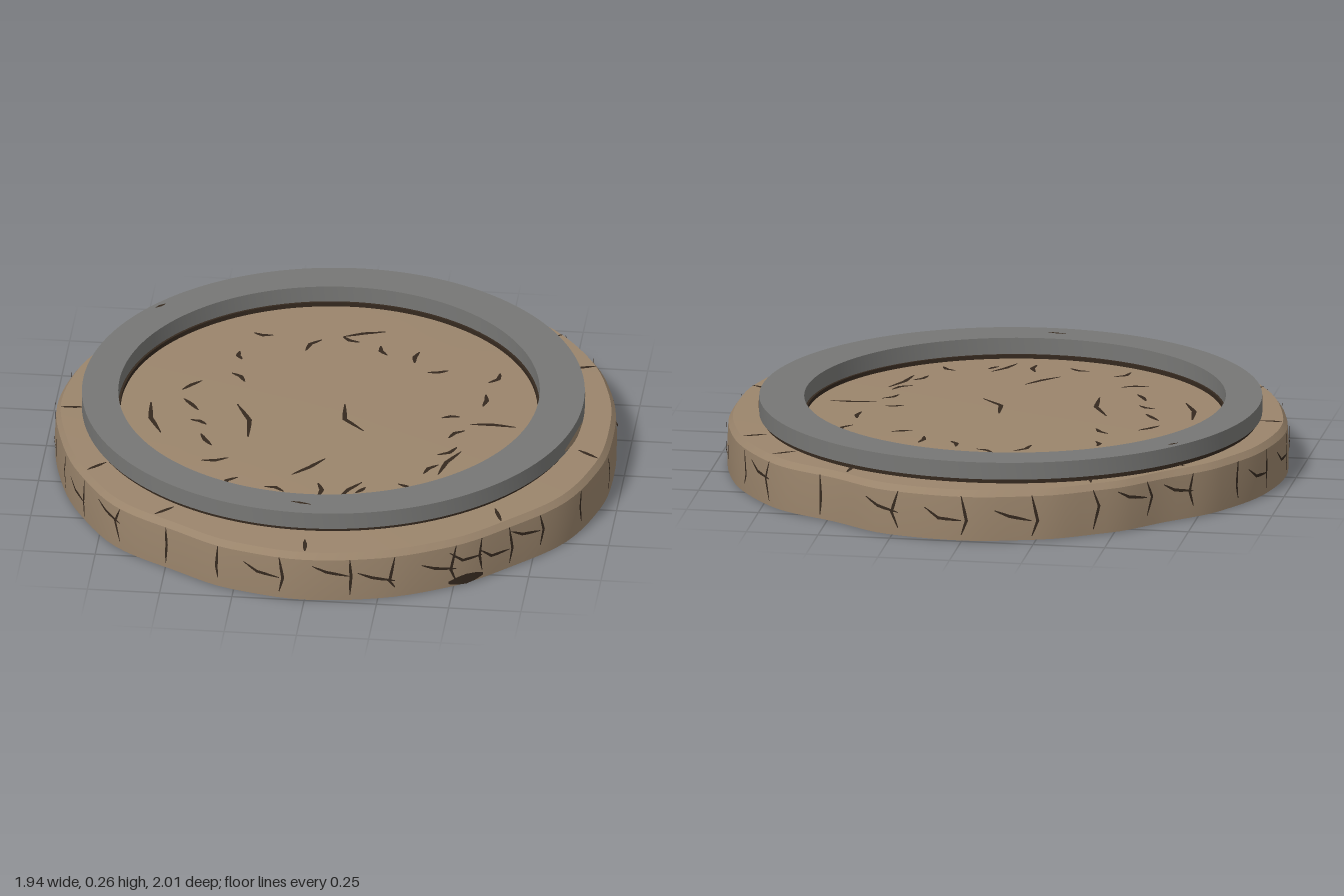
import * as THREE from 'three';
import { mergeGeometries, toCreasedNormals } from 'three/addons/utils/BufferGeometryUtils.js';

const RAD = Math.PI / 180;

// Uneven outline of the slab: one radius every 15 degrees, from +x towards +z
const OUTLINE = [.965, .975, .985, .97, .985, .995, 1, .985, .96, .975, .96, .955,
  .965, .96, .945, .92, .95, .98, 1, .995, .955, .985, .98, .97];

function radiusAt(deg) {
  const t = (((deg % 360) + 360) % 360) / 15, i = Math.floor(t), f = t - i;
  return THREE.MathUtils.lerp(OUTLINE[i % 24], OUTLINE[(i + 1) % 24], f * f * (3 - 2 * f));
}

const topY = r => 0.19 - 0.014 * Math.min(1, r * r); // slightly domed top

// Slab: the outline swept through a profile of [radius factor, height]
function slabGeometry() {
  const profile = [[0, 0], [1, 0], [1.002, 0.08], [0.998, 0.155], [0.982, topY(0.98)],
    [0.75, topY(0.75)], [0.4, topY(0.4)], [0, topY(0)]];
  const n = 120, pos = [], index = [];
  profile.forEach(([f, y]) => {
    for (let i = 0; i <= n; i++) {
      const deg = i * 360 / n, r = radiusAt(deg) * f;
      pos.push(r * Math.cos(deg * RAD), y, r * Math.sin(deg * RAD));
    }
  });
  for (let j = 0; j < profile.length - 1; j++) {
    for (let i = 0; i < n; i++) {
      const a = j * (n + 1) + i, b = a + 1, c = a + n + 1, d = c + 1;
      if (j > 0) index.push(a, c, b);
      if (j < profile.length - 2) index.push(b, c, d);
    }
  }
  const g = new THREE.BufferGeometry();
  g.setAttribute('position', new THREE.Float32BufferAttribute(pos, 3));
  g.setIndex(index);
  return toCreasedNormals(g, 0.5);
}

// Flat ring with an off-centre hole
function ringGeometry(grow, inset, depth) {
  const shape = new THREE.Shape().absellipse(-0.01, -0.03, 0.865 + grow, 0.875 + grow, 0, Math.PI * 2);
  shape.holes.push(new THREE.Path().absellipse(-0.025, -0.03, 0.725 - inset, 0.74 - inset, 0, Math.PI * 2));
  const g = new THREE.ExtrudeGeometry(shape, { depth, bevelEnabled: false, curveSegments: 96 });
  return toCreasedNormals(g.rotateX(Math.PI / 2), 0.5);
}

// Thin tapered ribbon along 2D points, laid on a surface by place(u, v)
function ribbon(points, width, place) {
  const path = [new THREE.Vector2(...points[0])];
  for (let i = 1; i < points.length; i++) {
    const from = new THREE.Vector2(...points[i - 1]), to = new THREE.Vector2(...points[i]);
    const steps = Math.max(2, Math.ceil(from.distanceTo(to) / 0.04));
    for (let k = 1; k <= steps; k++) path.push(from.clone().lerp(to, k / steps));
  }
  const pos = [], index = [], last = path.length - 1;
  path.forEach((p, i) => {
    const dir = path[Math.min(last, i + 1)].clone().sub(path[Math.max(0, i - 1)]).normalize();
    const w = width * (0.25 + 0.75 * Math.sin(Math.PI * i / last)) / 2;
    for (const s of [1, -1]) pos.push(...place(p.x - dir.y * w * s, p.y + dir.x * w * s));
    if (i < last) index.push(2 * i, 2 * i + 1, 2 * i + 2, 2 * i + 2, 2 * i + 1, 2 * i + 3);
  });
  const g = new THREE.BufferGeometry();
  g.setAttribute('position', new THREE.Float32BufferAttribute(pos, 3));
  g.setIndex(index);
  g.computeVertexNormals();
  return g;
}

// Surfaces for ribbons; s is an angle in radians
const onTop = (x, z) => [x, topY(Math.hypot(x, z)) + 0.003, z];
const onRing = (x, z) => [x, 0.257, z];
const onSide = (s, y) => {
  const r = radiusAt(s / RAD) + 0.006;
  return [r * Math.cos(s), y, r * Math.sin(s)];
};
const onRingSide = (s, y) => [-0.01 + 0.868 * Math.cos(s), y, -0.03 + 0.878 * Math.sin(s)];

// Main floor cracks: middle x, middle z, heading in degrees, length
const FLOOR_CRACKS = [
  [.07, .04, 65, .2], [.04, -.56, -20, .15], [-.61, .1, 75, .22], [-.31, .1, 75, .24],
  [-.05, .4, -50, .16], [.11, .55, -60, .14], [.43, .32, -70, .18], [.55, .04, 0, .16],
];

// Angles from +x towards +z of rim cracks and of upright side cracks
const RIM_DEGREES = [13, 47, 90, 125, 149, 177, 219, 243, 297, 318, 333];
const SIDE_DEGREES = [10, 25, 38, 46, 53, 59, 72, 81, 95, 108, 121, 133, 147, 158,
  170, 181, 194, 205, 218, 230, 243, 256, 270, 283, 303, 317, 328, 343, 352];

export function createModel() {
  const model = new THREE.Group();
  const stone = new THREE.MeshStandardMaterial({ name: 'tan stone', color: 0x9b856c, side: THREE.DoubleSide });
  const grey = new THREE.MeshStandardMaterial({ name: 'grey ring', color: 0x777775 });
  const dark = new THREE.MeshStandardMaterial({ name: 'dark crack', color: 0x35291f, side: THREE.DoubleSide });
  const add = (name, geometry, material, y = 0) => {
    const mesh = new THREE.Mesh(geometry, material);
    mesh.name = name;
    mesh.position.y = y;
    model.add(mesh);
  };
  let seed = 7;
  const rnd = () => (seed = (seed * 16807) % 2147483647) / 2147483647;

  add('stoneSlab', slabGeometry(), stone);
  add('raisedRing', ringGeometry(0, 0, 0.06), grey, 0.255);
  add('ringShadowGap', ringGeometry(-0.012, 0.008, 0.03), dark, 0.197);

  // Floor cracks: the main ones, then small ones scattered near the edge
  const floor = [...FLOOR_CRACKS];
  for (let i = 0; i < 24; i++) {
    const a = i * 15 * RAD, r = 0.4 + 0.23 * rnd();
    floor.push([r * Math.cos(a), r * Math.sin(a), rnd() * 180, 0.05 + 0.05 * rnd()]);
  }
  add('floorCracks', mergeGeometries(floor.map(([x, z, heading, length]) => {
    const dx = Math.cos(heading * RAD) * length / 2, dz = Math.sin(heading * RAD) * length / 2;
    const bend = (rnd() - 0.5) * 0.8;
    return ribbon([[x - dx, z - dz], [x - dz * bend, z + dx * bend], [x + dx, z + dz]], 0.017, onTop);
  })), dark);

  // Cracks across the rim
  add('rimCracks', mergeGeometries(RIM_DEGREES.map(deg => {
    const a = deg * RAD, b = a + (rnd() - 0.5) * 0.08, r = radiusAt(deg) * 0.98;
    return ribbon([[r * Math.cos(a), r * Math.sin(a)],
      [(r - 0.08) * Math.cos(b), (r - 0.08) * Math.sin(b)]], 0.015, onTop);
  })), dark);

  // Small chips in the ring
  const chips = [[[-.07, .77], [0, .785]], [[-.68, -.55], [-.65, -.58]]];
  add('ringChips', mergeGeometries(chips.map(c => ribbon(c, 0.012, onRing))), dark);

  // Side cracks: an upright split, often with a branch that turns up
  const side = [];
  SIDE_DEGREES.forEach(deg => {
    const s = deg * RAD, mid = 0.065 + rnd() * 0.04;
    side.push([[s, 0.16], [s + (rnd() - 0.5) * 0.05, mid], [s, 0.015 + rnd() * 0.03]]);
    if (rnd() > 0.35) side.push([[s, mid], [s + 0.08, mid + rnd() * 0.02], [s + 0.13, mid + 0.04]]);
  });
  add('sideCracks', mergeGeometries(side.map(c => ribbon(c, 0.011, onSide))), dark);
  add('frontNotch', ribbon([[1.06, .02], [0.92, .02]], 0.038, onSide), dark);

  // Stone showing through the ring's edge
  const patches = [[[.3, .21], [.06, .21]], [[-.06, .21], [-.2, .21]]];
  add('ringPatches', mergeGeometries(patches.map(c => ribbon(c, 0.028, onRingSide))), stone);

  // Hollows in the underside
  const hollows = [
    [[.6, .63], [.44, .41], [.32, .04], [.36, -.08], [.1, -.07], [.22, .13], [.42, .42]],
    [[.57, .77], [.48, .69], [.35, .85], [.18, .81], [.4, .88]],
    [[-.68, -.29], [-.73, -.22], [-.77, -.26], [-.74, -.34]],
  ];
  hollows.forEach((pts, i) => {
    const shape = new THREE.Shape(pts.map(p => new THREE.Vector2(...p)));
    add('undersideHollow' + (i + 1), new THREE.ShapeGeometry(shape).rotateX(Math.PI / 2), dark, -0.003);
  });
  return model;
}
